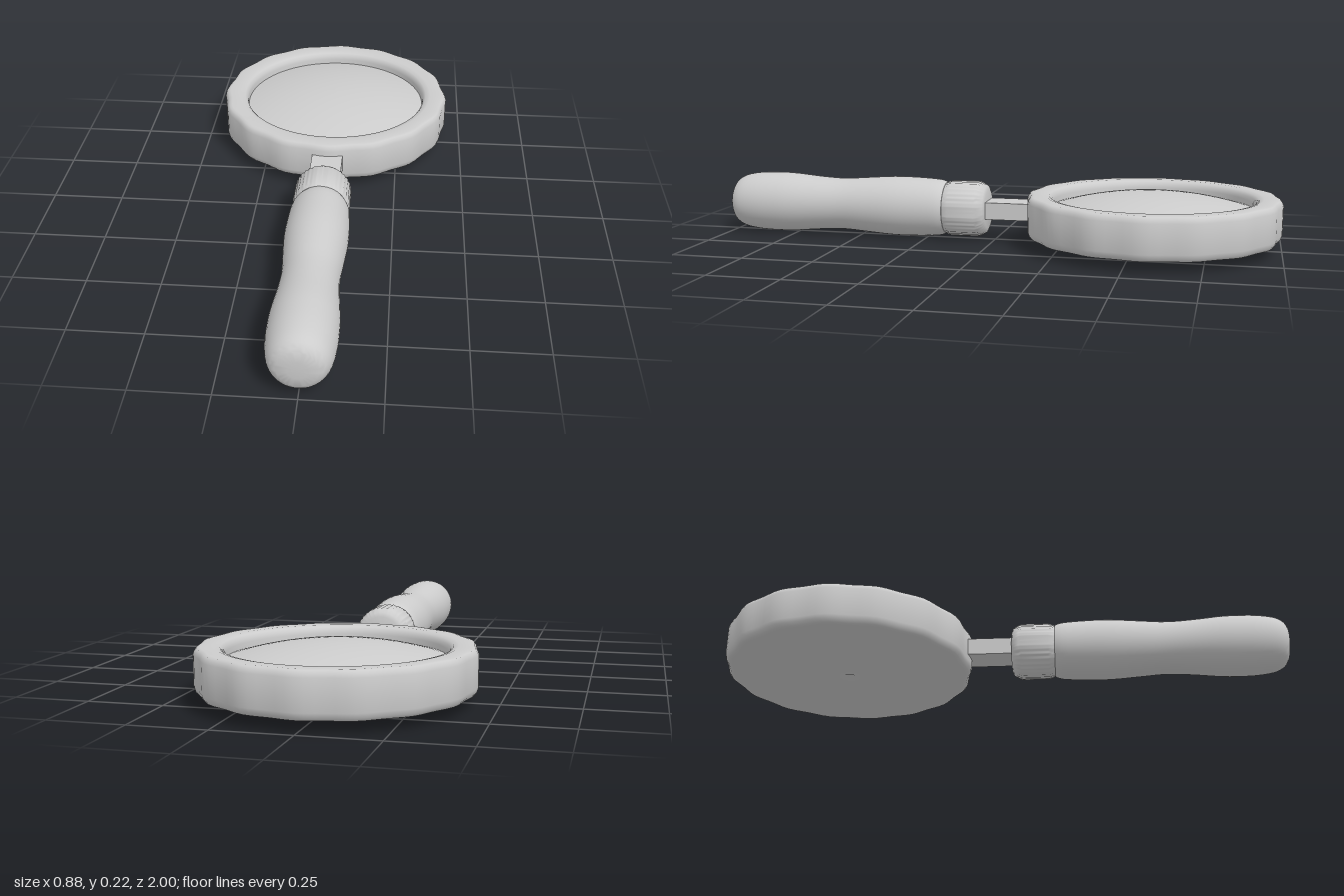
import * as THREE from 'three';
import { toCreasedNormals } from 'three/addons/utils/BufferGeometryUtils.js';

const AXIS_Y = 0.113; // height of the handle axis
const RING_Z = -0.56; // centre of the lens and its frame

const vectors = (pairs) => pairs.map(([r, y]) => new THREE.Vector2(r, y));

// Ripple a lathe radially: keeps y, scales x and z by angle
function ripple(geometry, lobes, amplitude, minRadius) {
  const p = geometry.attributes.position;
  for (let i = 0; i < p.count; i++) {
    const x = p.getX(i), z = p.getZ(i), r = Math.hypot(x, z);
    if (r < minRadius) continue;
    const k = 1 + (amplitude * (Math.cos(lobes * Math.atan2(x, z)) - 1)) / r;
    p.setXYZ(i, x * k, p.getY(i), z * k);
  }
  return geometry;
}

export function createModel() {
  const model = new THREE.Group();
  model.name = 'magnifyingGlass';
  const grey = new THREE.MeshStandardMaterial({ color: 0xcccccc });
  grey.name = 'lightGrey';

  const add = (name, geometry, y, z, alongZ = false) => {
    const mesh = new THREE.Mesh(geometry, grey);
    mesh.name = name;
    mesh.position.set(0, y, z);
    if (alongZ) mesh.rotation.x = Math.PI / 2; // lathe axis points to +z
    model.add(mesh);
  };

  // Frame: closed underside with a shallow centre boss, wavy wall, rounded rim
  const frame = new THREE.LatheGeometry(vectors([
    [0, 0.042], [0.012, 0.042], [0.02, 0.036], [0.07, 0.037], [0.12, 0.04],
    [0.3, 0.04], [0.415, 0.04], [0.428, 0.042], [0.436, 0.052], [0.44, 0.066],
    [0.44, 0.164], [0.436, 0.174], [0.43, 0.183], [0.42, 0.185],
    [0.375, 0.185], [0.358, 0.181], [0.349, 0.171], [0.346, 0.158], [0.345, 0.13],
  ]), 96);
  add('lensFrame', toCreasedNormals(ripple(frame, 16, 0.004, 0.4), 1.0), 0, RING_Z);

  // Lens: shallow dome set below the rim
  const dome = [];
  for (let i = 0; i <= 12; i++) {
    const t = 1 - i / 12;
    dome.push([0.346 * t, 0.192 - 0.052 * t * t]);
  }
  add('lens', new THREE.LatheGeometry(vectors(dome), 64), 0, RING_Z);

  // Flat neck joining the frame and the collar
  add('neck', new THREE.BoxGeometry(0.112, 0.06, 0.2), 0.115, -0.05);

  // Collar with fine ribs
  const collar = new THREE.LatheGeometry(vectors([
    [0, 0.025], [0.07, 0.025], [0.085, 0.031], [0.097, 0.05],
    [0.1, 0.06], [0.1, 0.155], [0.096, 0.17], [0.09, 0.18], [0, 0.18],
  ]), 144);
  add('collar', toCreasedNormals(ripple(collar, 36, 0.0015, 0.095), 0.9), AXIS_Y, 0, true);

  // Handle: two gentle swellings and a rounded butt
  const curve = new THREE.SplineCurve(vectors([
    [0.093, 0.178], [0.102, 0.21], [0.107, 0.3], [0.107, 0.38], [0.1, 0.48], [0.094, 0.57],
    [0.098, 0.66], [0.107, 0.76], [0.109, 0.82], [0.107, 0.89], [0.098, 0.95], [0.082, 0.982],
    [0.062, 0.996],
  ]));
  const profile = [
    new THREE.Vector2(0, 0.178), ...curve.getPoints(40),
    new THREE.Vector2(0.03, 0.9995), new THREE.Vector2(0, 1),
  ];
  add('handle', toCreasedNormals(new THREE.LatheGeometry(profile, 48), 0.9), AXIS_Y, 0, true);

  return model;
}
